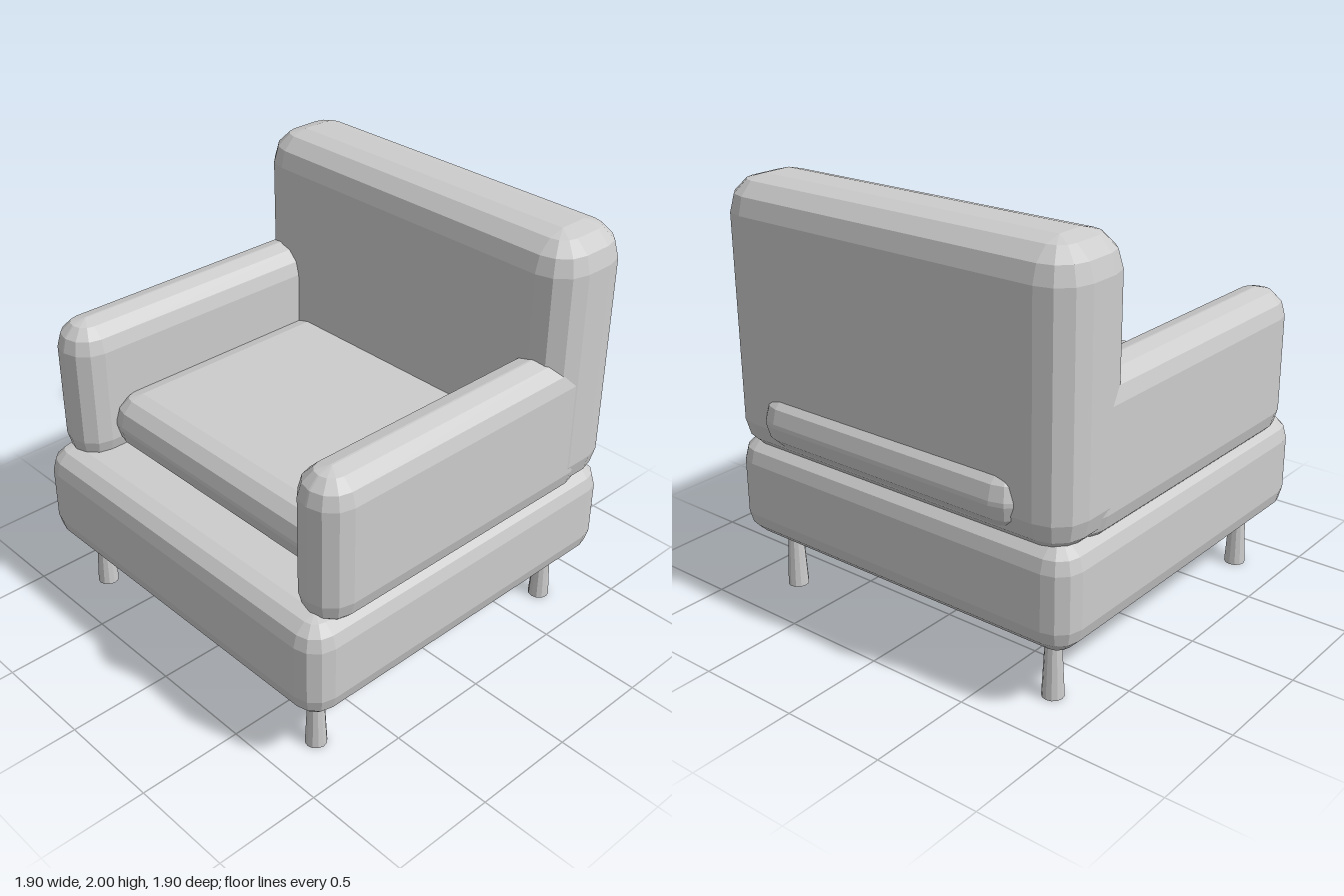
import * as THREE from 'three';
import { ConvexGeometry } from 'three/addons/geometries/ConvexGeometry.js';

const STEPS = 3; // facets per rounded edge

// Box with faceted round edges, given as [min, max] on each axis
function softBox(name, [x0, x1], [y0, y1], [z0, z1], r, material) {
  const points = [];
  const hx = (x1 - x0) / 2 - r, hy = (y1 - y0) / 2 - r, hz = (z1 - z0) / 2 - r;
  for (const sx of [-1, 1]) for (const sy of [-1, 1]) for (const sz of [-1, 1]) {
    for (let i = 0; i <= STEPS; i++) {
      const up = (i / STEPS) * Math.PI / 2;
      const ring = i === STEPS ? 0 : STEPS; // the pole is one point
      for (let j = 0; j <= ring; j++) {
        const turn = (j / STEPS) * Math.PI / 2;
        points.push(new THREE.Vector3(
          sx * (hx + r * Math.cos(up) * Math.cos(turn)),
          sy * (hy + r * Math.sin(up)),
          sz * (hz + r * Math.cos(up) * Math.sin(turn))
        ));
      }
    }
  }
  const mesh = new THREE.Mesh(new ConvexGeometry(points), material);
  mesh.position.set((x0 + x1) / 2, (y0 + y1) / 2, (z0 + z1) / 2);
  mesh.name = name;
  return mesh;
}

export function createModel() {
  const group = new THREE.Group();
  group.name = 'armchair';
  const grey = new THREE.MeshStandardMaterial({ color: 0xcccccc });
  grey.name = 'grey';

  // Upholstered body
  group.add(softBox('base', [-0.95, 0.95], [0.29, 0.79], [-0.9, 0.95], 0.12, grey));
  group.add(softBox('backrest', [-0.95, 0.95], [0.72, 2], [-0.905, -0.445], 0.16, grey));
  group.add(softBox('seatCushion', [-0.74, 0.74], [0.79, 1.07], [-0.95, 0.715], 0.13, grey));

  // Armrests, set a hair inside the backrest's sides
  group.add(softBox('leftArm', [0.675, 0.948], [0.715, 1.44], [-0.75, 0.86], 0.132, grey));
  group.add(softBox('rightArm', [-0.948, -0.675], [0.715, 1.44], [-0.75, 0.86], 0.132, grey));

  // Legs, wider at the floor
  const legGeometry = new THREE.CylinderGeometry(0.034, 0.05, 0.31, 12).toNonIndexed();
  legGeometry.computeVertexNormals();
  for (const [side, x] of [['left', 0.765], ['right', -0.765]]) {
    for (const [end, z] of [['Front', 0.77], ['Back', -0.72]]) {
      const leg = new THREE.Mesh(legGeometry, grey);
      leg.name = side + end + 'Leg';
      leg.position.set(x, 0.155, z);
      group.add(leg);
    }
  }
  return group;
}
